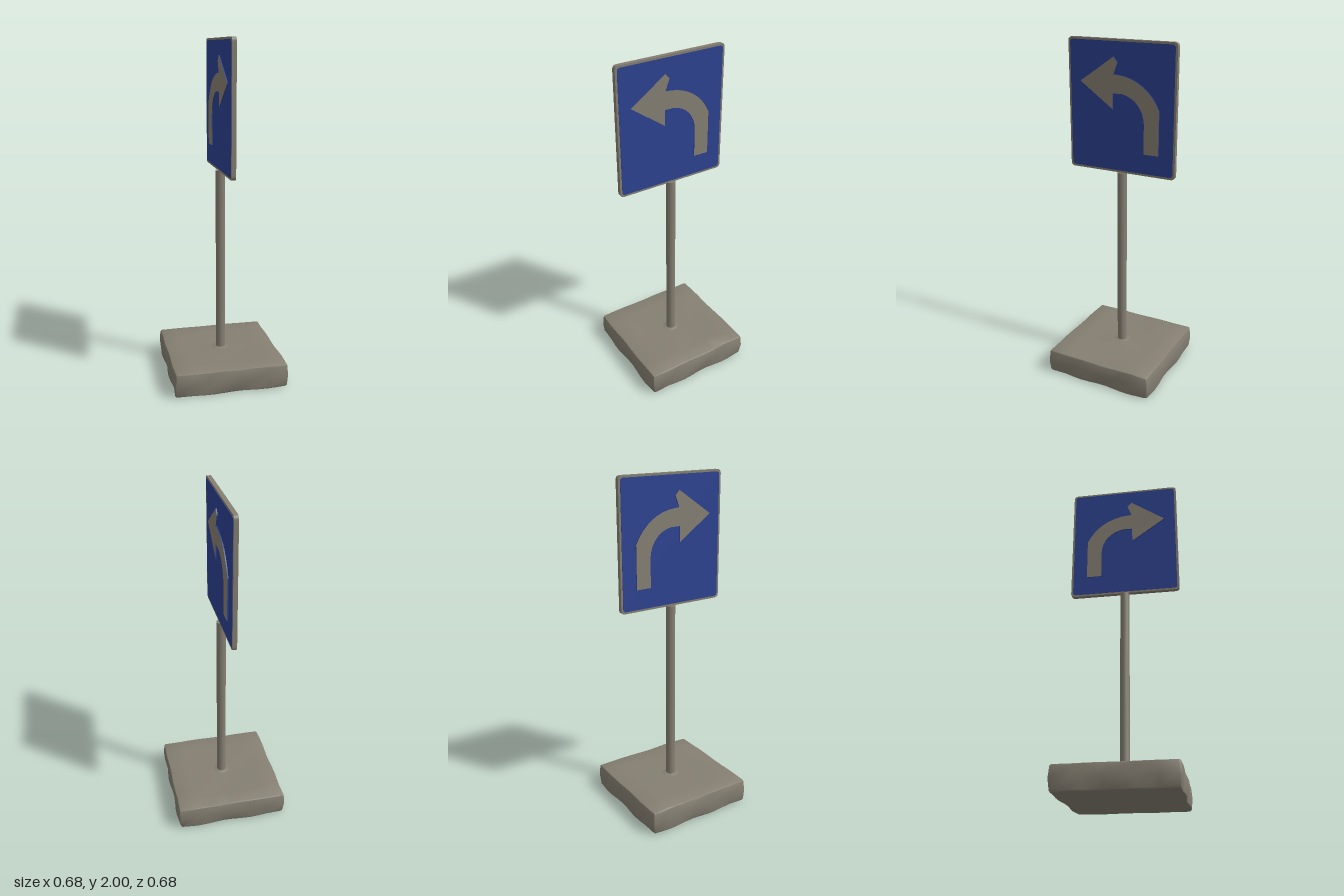
import * as THREE from 'three';
import { mergeVertices, toCreasedNormals } from 'three/addons/utils/BufferGeometryUtils.js';

const stone = new THREE.MeshStandardMaterial({ color: 0x857f72 });
stone.name = 'warmGrey';
const blue = new THREE.MeshStandardMaterial({ color: 0x2c4290 });
blue.name = 'signBlue';

function add(group, name, geometry, material, x = 0, y = 0, z = 0) {
  const mesh = new THREE.Mesh(geometry, material);
  mesh.name = name;
  mesh.position.set(x, y, z);
  group.add(mesh);
  return mesh;
}

// Extrudes a (z, y) outline along x, centred on x = 0
function slab(shape, thickness) {
  const g = new THREE.ExtrudeGeometry(shape, { depth: thickness, bevelEnabled: false, curveSegments: 8 });
  g.translate(0, 0, -thickness / 2);
  g.rotateY(Math.PI / 2); // shape x becomes -z
  return g;
}

function roundedRect(w, h, r) {
  const s = new THREE.Shape();
  const x = w / 2, y = h / 2;
  s.moveTo(-x + r, -y);
  s.lineTo(x - r, -y).quadraticCurveTo(x, -y, x, -y + r);
  s.lineTo(x, y - r).quadraticCurveTo(x, y, x - r, y);
  s.lineTo(-x + r, y).quadraticCurveTo(-x, y, -x, y - r);
  s.lineTo(-x, -y + r).quadraticCurveTo(-x, -y, -x + r, -y);
  return s;
}

// Curved turn arrow, drawn with its head towards shape -x (model +z)
function arrowShape() {
  const s = new THREE.Shape();
  s.moveTo(0.145, 1.378);
  s.lineTo(0.235, 1.378);
  s.lineTo(0.235, 1.63);
  s.bezierCurveTo(0.19, 1.73, 0.10, 1.80, -0.02, 1.808);
  s.lineTo(-0.045, 1.81);
  s.lineTo(-0.02, 1.875);
  s.lineTo(-0.045, 1.905);
  s.lineTo(-0.255, 1.76);
  s.lineTo(-0.05, 1.615);
  s.lineTo(-0.05, 1.705);
  s.lineTo(0.01, 1.705);
  s.bezierCurveTo(0.09, 1.69, 0.14, 1.63, 0.145, 1.55);
  s.closePath();
  return s;
}

// Worn block: chamfered box with gently wavy sides and top
function baseGeometry(half, height, bevel) {
  const box = new THREE.BoxGeometry(2, 2, 2, 12, 4, 12);
  box.deleteAttribute('uv');
  box.deleteAttribute('normal');
  const g = mergeVertices(box);
  const size = new THREE.Vector3(half, height / 2, half);
  const inner = size.clone().subScalar(bevel);
  const p = g.attributes.position;
  const v = new THREE.Vector3(), core = new THREE.Vector3();
  for (let i = 0; i < p.count; i++) {
    v.fromBufferAttribute(p, i);
    // Pull the last inner ring out to the start of the rounded edge
    for (const [axis, limit] of [['x', 0.8], ['y', 0.4], ['z', 0.8]]) {
      const a = Math.abs(v[axis]);
      const keep = a > limit && a < 0.99;
      v[axis] = keep ? Math.sign(v[axis]) * inner[axis] : v[axis] * size[axis];
    }
    core.copy(v).clamp(inner.clone().negate(), inner);
    v.sub(core).setLength(bevel).add(core);
    const { x, y, z } = v;
    const side = 0.004 * (1 - y / height);
    if (Math.abs(x) > inner.x - 0.001) v.x += side * Math.sin(z * 21 + y * 30 + x * 4);
    if (Math.abs(z) > inner.z - 0.001) v.z += side * Math.sin(x * 19 - y * 35 + z * 5);
    if (y > 0) v.y += 0.0025 * Math.sin(x * 13 + 1) * Math.cos(z * 15);
    p.setXYZ(i, v.x, v.y + height / 2, v.z);
  }
  return toCreasedNormals(g, 0.7);
}

export function createModel() {
  const model = new THREE.Group();
  model.name = 'turnSign';

  // Foot and post
  add(model, 'baseBlock', baseGeometry(0.333, 0.143, 0.012), stone);
  add(model, 'postCollar', new THREE.CylinderGeometry(0.03, 0.065, 0.01, 16), stone, 0, 0.145, 0);
  add(model, 'post', new THREE.CylinderGeometry(0.028, 0.028, 1.13, 16), stone, 0, 0.685, 0);

  // Panel: grey rim with a thin blue sheet on each face
  const panelY = 1.625;
  add(model, 'panelFrame', slab(roundedRect(0.666, 0.75, 0.025), 0.025), stone, 0, panelY, 0);
  const sheet = slab(roundedRect(0.642, 0.726, 0.02), 0.003);
  const arrow = slab(arrowShape(), 0.007);
  for (const side of [1, -1]) {
    const label = side > 0 ? 'left' : 'right';
    add(model, label + 'BlueSheet', sheet, blue, side * 0.0125, panelY, 0);
    // Raised arrow: grey faces, blue rim
    add(model, label + 'Arrow', arrow, [stone, blue], side * 0.0165, 0, 0);
  }
  return model;
}
